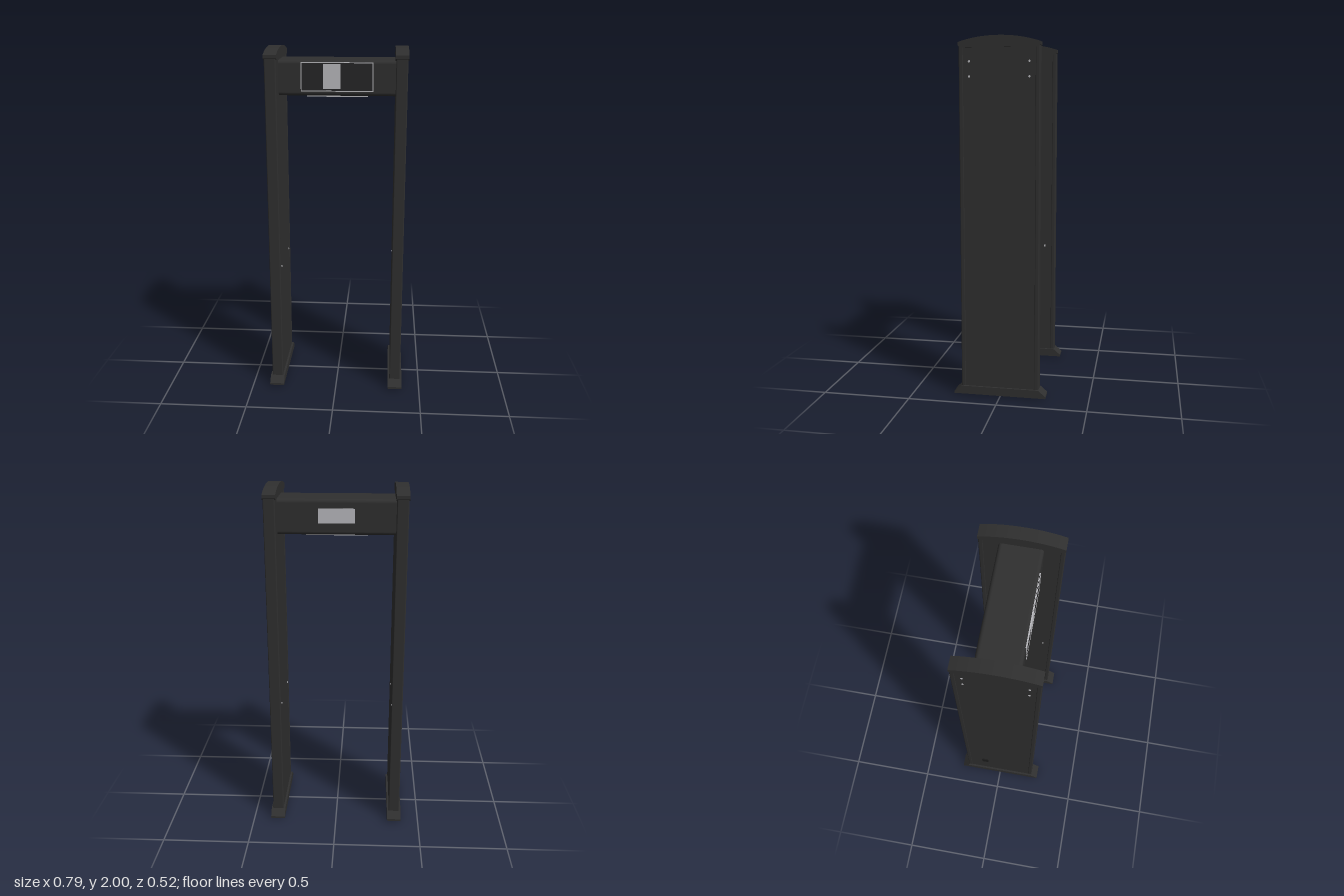
import * as THREE from 'three';

const mat = (name, color) => {
  const m = new THREE.MeshStandardMaterial({ color });
  m.name = name;
  return m;
};

export function createModel() {
  const model = new THREE.Group();
  model.name = 'walkThroughDetector';
  const body = mat('charcoal', 0x2f2f2f);
  const dark = mat('screenBlack', 0x262627);
  const light = mat('lightGrey', 0xb8b8bc);
  const foot = mat('footBlack', 0x1c1c1c);

  const add = (parent, name, geo, material, x = 0, y = 0, z = 0) => {
    const mesh = new THREE.Mesh(geo, material);
    mesh.name = name;
    mesh.position.set(x, y, z);
    parent.add(mesh);
    return mesh;
  };
  const box = (parent, name, material, w, h, d, x, y, z) =>
    add(parent, name, new THREE.BoxGeometry(w, h, d), material, x, y, z);

  // Extrudes a (z, y) profile along x, centred on x = 0
  const alongX = (shape, width) =>
    new THREE.ExtrudeGeometry(shape, { depth: width, bevelEnabled: false, curveSegments: 16 })
      .translate(0, 0, -width / 2).rotateY(-Math.PI / 2);
  const roundedRect = (x0, y0, x1, y1, r) => {
    const s = new THREE.Shape();
    s.absarc(x1 - r, y0 + r, r, -Math.PI / 2, 0);
    s.absarc(x1 - r, y1 - r, r, 0, Math.PI / 2);
    s.absarc(x0 + r, y1 - r, r, Math.PI / 2, Math.PI);
    s.absarc(x0 + r, y0 + r, r, Math.PI, Math.PI * 1.5);
    s.closePath();
    return s;
  };

  // Arched cap and sloped base profiles
  const capShape = new THREE.Shape();
  capShape.moveTo(-0.21, 1.938);
  capShape.lineTo(0.21, 1.938);
  capShape.lineTo(0.222, 1.948);
  capShape.lineTo(0.222, 1.966);
  capShape.quadraticCurveTo(0.12, 2.0, 0, 2.0);
  capShape.quadraticCurveTo(-0.12, 2.0, -0.222, 1.966);
  capShape.lineTo(-0.222, 1.948);
  const baseShape = new THREE.Shape(
    [[-0.26, 0.01], [0.26, 0.01], [0.26, 0.022], [0.22, 0.056], [-0.22, 0.056], [-0.26, 0.022]]
      .map(([z, y]) => new THREE.Vector2(z, y)));

  // Side pillars
  for (const side of [1, -1]) {
    const pillar = new THREE.Group();
    pillar.name = side > 0 ? 'leftPillar' : 'rightPillar';
    pillar.position.x = side * 0.354;
    model.add(pillar);
    box(pillar, 'sidePanel', body, 0.06, 1.9, 0.396, 0, 1.0, 0);
    add(pillar, 'cap', alongX(capShape, 0.072), body);
    add(pillar, 'base', alongX(baseShape, 0.084), body);
    for (const end of [1, -1]) {
      // Rounded edge strip
      const strip = new THREE.ExtrudeGeometry(
        roundedRect(-0.032, -0.0125, 0.032, 0.0125, 0.006),
        { depth: 1.9, bevelEnabled: false, curveSegments: 5 }).rotateX(-Math.PI / 2);
      add(pillar, 'edgeStrip', strip, body, 0, 0.045, end * 0.2075);
      add(pillar, 'foot', new THREE.CylinderGeometry(0.012, 0.012, 0.012, 16), foot, 0, 0.006, end * 0.225);
      // Bolt heads outside, sensor dots inside
      const dot = (name, x, y, z, r) => add(pillar, name,
        new THREE.CylinderGeometry(r, r, 0.004, 12).rotateZ(Math.PI / 2), light, x, y, z);
      for (const y of [1.865, 1.785]) dot('bolt', side * 0.031, y, end * 0.163, 0.006);
      dot('sensorDot', side * -0.031, 0.74, end * 0.155, 0.006);
    }
  }
  // Power socket on the outer face
  box(model, 'powerSocket', foot, 0.008, 0.05, 0.04, -0.387, 0.25, -0.1);

  // Cross beam
  add(model, 'crossBeam', alongX(roundedRect(-0.117, 1.735, 0.113, 1.93, 0.02), 0.65), body);

  // Front display: dark glass, thin border and bright readout
  const display = new THREE.Group();
  display.name = 'display';
  display.position.set(0, 1.84, 0.113);
  model.add(display);
  box(display, 'displayGlass', dark, 0.4, 0.16, 0.006, 0, 0, 0);
  for (const s of [1, -1]) {
    box(display, 'displayBorder', light, 0.4, 0.005, 0.009, 0, s * 0.0775, 0.0005);
    box(display, 'displayBorder', light, 0.005, 0.16, 0.009, s * 0.1975, 0, 0.0005);
  }
  box(display, 'readout', light, 0.096, 0.135, 0.008, -0.028, 0.003, 0.0005);

  // Rear plate and lamp panel under the beam
  box(model, 'rearPlate', light, 0.2, 0.08, 0.005, 0, 1.84, -0.117);
  box(model, 'lampPanel', light, 0.34, 0.009, 0.15, 0, 1.7305, 0);
  return model;
}
